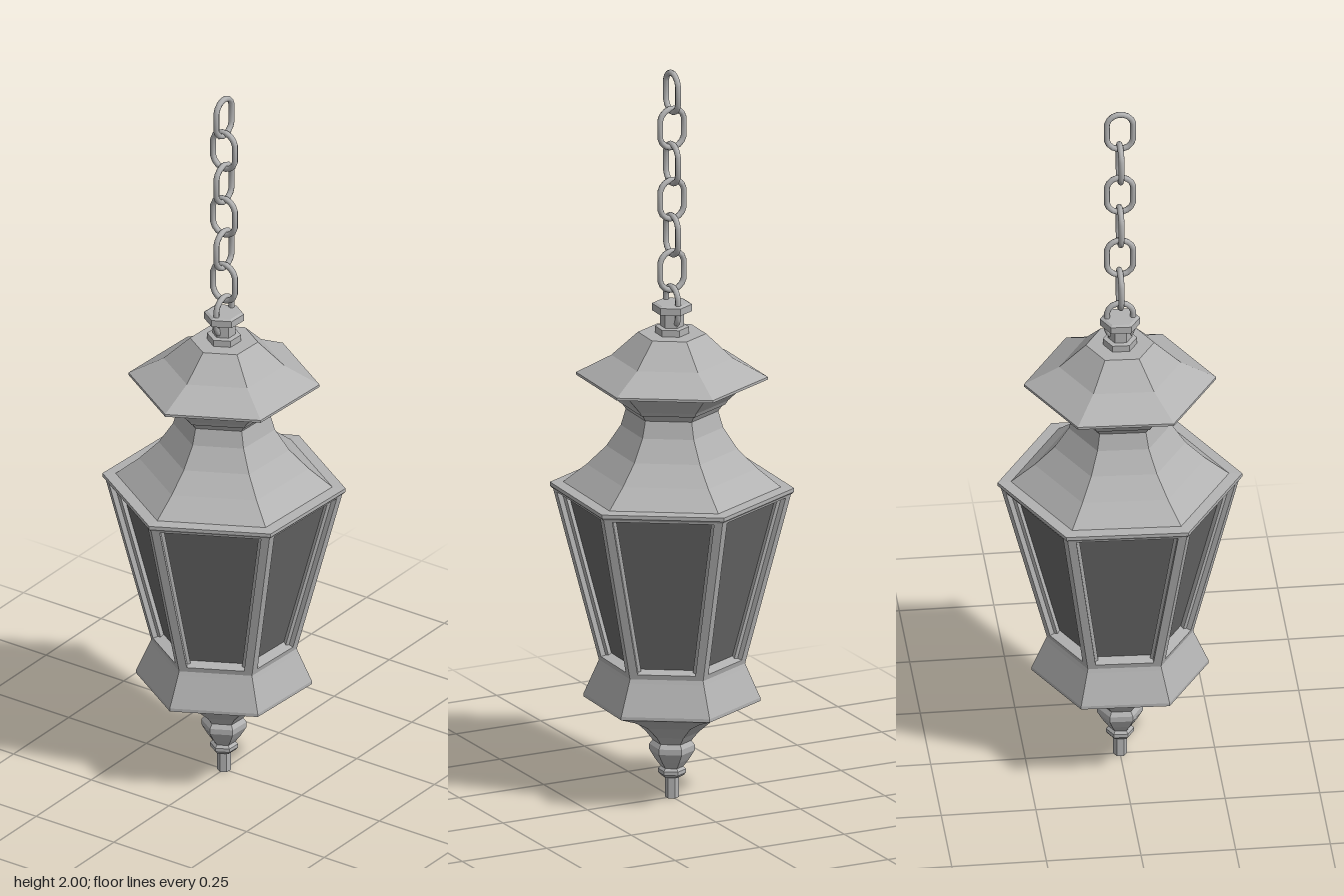
import * as THREE from 'three';

const TWIST = THREE.MathUtils.degToRad(-2.3); // the six sides are turned slightly about y
const CORNER = TWIST + Math.PI / 6;

const metal = new THREE.MeshStandardMaterial({ color: 0xb2b2b2 });
metal.name = 'grey metal';
const glass = new THREE.MeshStandardMaterial({ color: 0x686868 });
glass.name = 'dark glass';

function addMesh(parent, name, geometry, material = metal) {
  const mesh = new THREE.Mesh(geometry, material);
  mesh.name = name;
  parent.add(mesh);
  return mesh;
}

// Flat-faced six-sided solid from [radius, height] points, bottom to top
function hexSolid(points) {
  const profile = points.map(([r, y]) => new THREE.Vector2(r, y));
  const geometry = new THREE.LatheGeometry(profile, 6, CORNER).toNonIndexed();
  geometry.computeVertexNormals();
  return geometry;
}

// Tapered window frame for one side, with the opening cut out
function frameGeometry(top, bottom, depth) {
  const apothem = Math.cos(Math.PI / 6);
  const rise = top.y - bottom.y;
  const lean = (top.r - bottom.r) * apothem;
  const height = Math.hypot(rise, lean);
  const wb = bottom.r / 2, wt = top.r / 2;
  const border = 0.022, sill = 0.025, head = 0.014;
  const halfWidth = (y) => wb + (wt - wb) * y / height - border;
  const shape = new THREE.Shape([
    new THREE.Vector2(-wb, 0), new THREE.Vector2(wb, 0),
    new THREE.Vector2(wt, height), new THREE.Vector2(-wt, height),
  ]);
  const y0 = sill, y1 = height - head;
  shape.holes.push(new THREE.Path([
    new THREE.Vector2(-halfWidth(y0), y0), new THREE.Vector2(-halfWidth(y1), y1),
    new THREE.Vector2(halfWidth(y1), y1), new THREE.Vector2(halfWidth(y0), y0),
  ]));
  const geometry = new THREE.ExtrudeGeometry(shape, { depth, bevelEnabled: false });
  geometry.translate(0, 0, -depth);
  geometry.rotateX(Math.atan2(lean, rise));
  geometry.translate(0, bottom.y, bottom.r * apothem);
  return geometry;
}

// Oval chain link: a torus pulled apart at its middle
function linkGeometry() {
  const geometry = new THREE.TorusGeometry(0.0355, 0.008, 8, 16);
  geometry.rotateZ(Math.PI / 16);
  const p = geometry.attributes.position;
  for (let i = 0; i < p.count; i++) p.setY(i, p.getY(i) + Math.sign(p.getY(i)) * 0.018);
  geometry.computeBoundingSphere();
  return geometry;
}

export function createModel() {
  const model = new THREE.Group();
  model.name = 'hangingLantern';

  // Rod and turned finial below the body
  addMesh(model, 'finialRod', hexSolid([[0, 0], [0.018, 0], [0.018, 0.07], [0, 0.07]]));
  addMesh(model, 'finial', hexSolid([
    [0, 0.06], [0.03, 0.06], [0.037, 0.068], [0.037, 0.078], [0.03, 0.085], [0.045, 0.105],
    [0.06, 0.13], [0.06, 0.145], [0.045, 0.165], [0, 0.165],
  ]));

  // Flared base under the windows
  addMesh(model, 'base', hexSolid([
    [0, 0.155], [0.05, 0.155], [0.07, 0.18], [0.11, 0.215], [0.17, 0.246], [0.233, 0.27],
    [0.233, 0.279], [0.197, 0.362], [0.188, 0.385], [0, 0.385],
  ]));

  // Six window frames around a tapered glass body
  const top = { r: 0.316, y: 0.85 }, bottom = { r: 0.19, y: 0.362 };
  const frame = frameGeometry(top, bottom, 0.035);
  const frames = new THREE.Group();
  frames.name = 'windowFrames';
  model.add(frames);
  for (let i = 0; i < 6; i++) {
    addMesh(frames, 'windowFrame', frame).rotation.y = TWIST + i * Math.PI / 3;
  }
  const panes = new THREE.CylinderGeometry(
    top.r - 0.036, bottom.r - 0.036, top.y - bottom.y, 6, 1, true, CORNER).toNonIndexed();
  panes.computeVertexNormals();
  panes.translate(0, (top.y + bottom.y) / 2, 0);
  addMesh(model, 'windowPanes', panes, glass);

  // Rim, sloping shoulder and neck
  addMesh(model, 'shoulder', hexSolid([
    [0, 0.842], [0.316, 0.842], [0.322, 0.848], [0.322, 0.858], [0.287, 0.86], [0.225, 0.91],
    [0.173, 0.962], [0.135, 1.02], [0.122, 1.065], [0.136, 1.085], [0, 1.085],
  ]));

  // Cornice and brimmed hood
  addMesh(model, 'cornice', hexSolid([
    [0, 1.083], [0.14, 1.083], [0.148, 1.095], [0.195, 1.14], [0.2, 1.155], [0, 1.155],
  ]));
  addMesh(model, 'hood', hexSolid([
    [0, 1.152], [0.253, 1.155], [0.253, 1.162], [0.16, 1.212], [0.09, 1.277], [0, 1.277],
  ]));

  // Collar that holds the chain
  addMesh(model, 'collar', hexSolid([
    [0, 1.275], [0.045, 1.275], [0.045, 1.295], [0.031, 1.297], [0.031, 1.335], [0.053, 1.338],
    [0.053, 1.357], [0.045, 1.361], [0, 1.361],
  ]));

  // Chain links, each turned a quarter from the last
  const chain = new THREE.Group();
  chain.name = 'chain';
  model.add(chain);
  const link = linkGeometry();
  for (let i = 0; i < 7; i++) {
    const mesh = addMesh(chain, 'chainLink', link);
    mesh.position.y = 1.9385 - i * 0.098;
    mesh.rotation.y = (i % 2) * Math.PI / 2;
  }

  return model;
}
